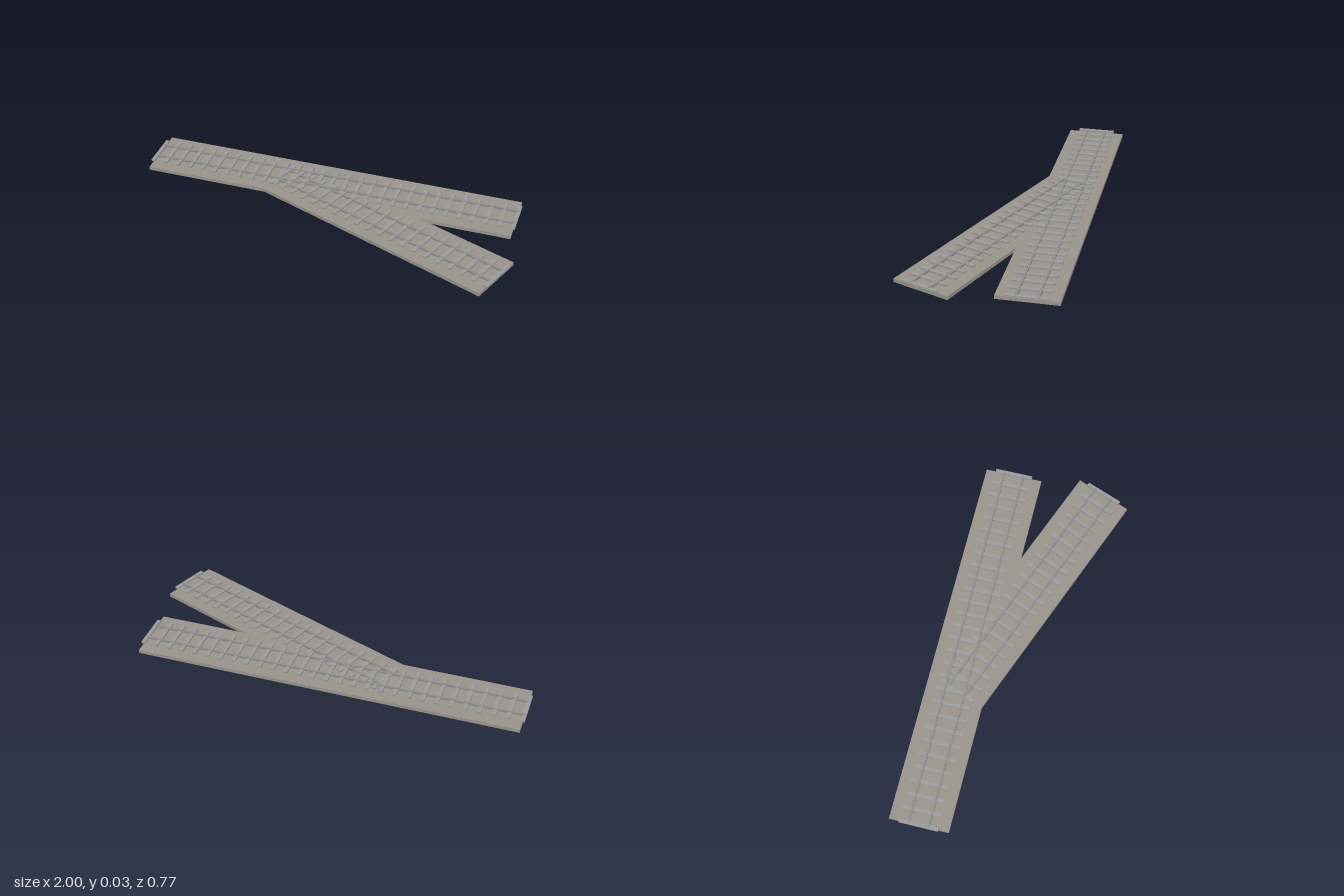
import * as THREE from 'three';

const bedMaterial = new THREE.MeshStandardMaterial({ color: 0x98948b });
const sleeperMaterial = new THREE.MeshStandardMaterial({ color: 0x9a9a98 });
const railMaterial = new THREE.MeshStandardMaterial({ color: 0x8c8c8c });

function addBox(parent, name, material, size, position) {
  const mesh = new THREE.Mesh(new THREE.BoxGeometry(...size), material);
  mesh.name = name;
  mesh.position.set(...position);
  parent.add(mesh);
}

// A straight run of track along +x, starting at its own origin
function createTrack(name, length, sleeperCount) {
  const track = new THREE.Group();
  track.name = name;
  addBox(track, 'trackBed', bedMaterial, [length, 0.0185, 0.297], [length / 2, 0.00925, 0]);

  // Sleepers, the first and last centred on the ends of the bed
  for (let i = 0; i < sleeperCount; i++) {
    const x = (length * i) / (sleeperCount - 1);
    addBox(track, 'sleeper', sleeperMaterial, [0.02, 0.0095, 0.195], [x, 0.0265, 0]);
  }

  // Pair of rails
  for (const side of [-1, 1]) {
    addBox(track, 'rail', railMaterial, [length, 0.0095, 0.011], [length / 2, 0.02875, side * 0.05]);
  }
  return track;
}

export function createModel() {
  const model = new THREE.Group();
  model.name = 'railwaySwitch';

  // Main line
  const mainTrack = createTrack('mainTrack', 1.932, 29);
  mainTrack.position.set(-0.99, 0, -0.242);
  model.add(mainTrack);

  // Diverging line, turned towards the front
  const angle = THREE.MathUtils.degToRad(21);
  const length = 1.324;
  const branchTrack = createTrack('branchTrack', length, 20);
  branchTrack.rotation.y = -angle;
  branchTrack.position.set(0.943 - length * Math.cos(angle), 0, 0.242 - length * Math.sin(angle));
  model.add(branchTrack);

  return model;
}
